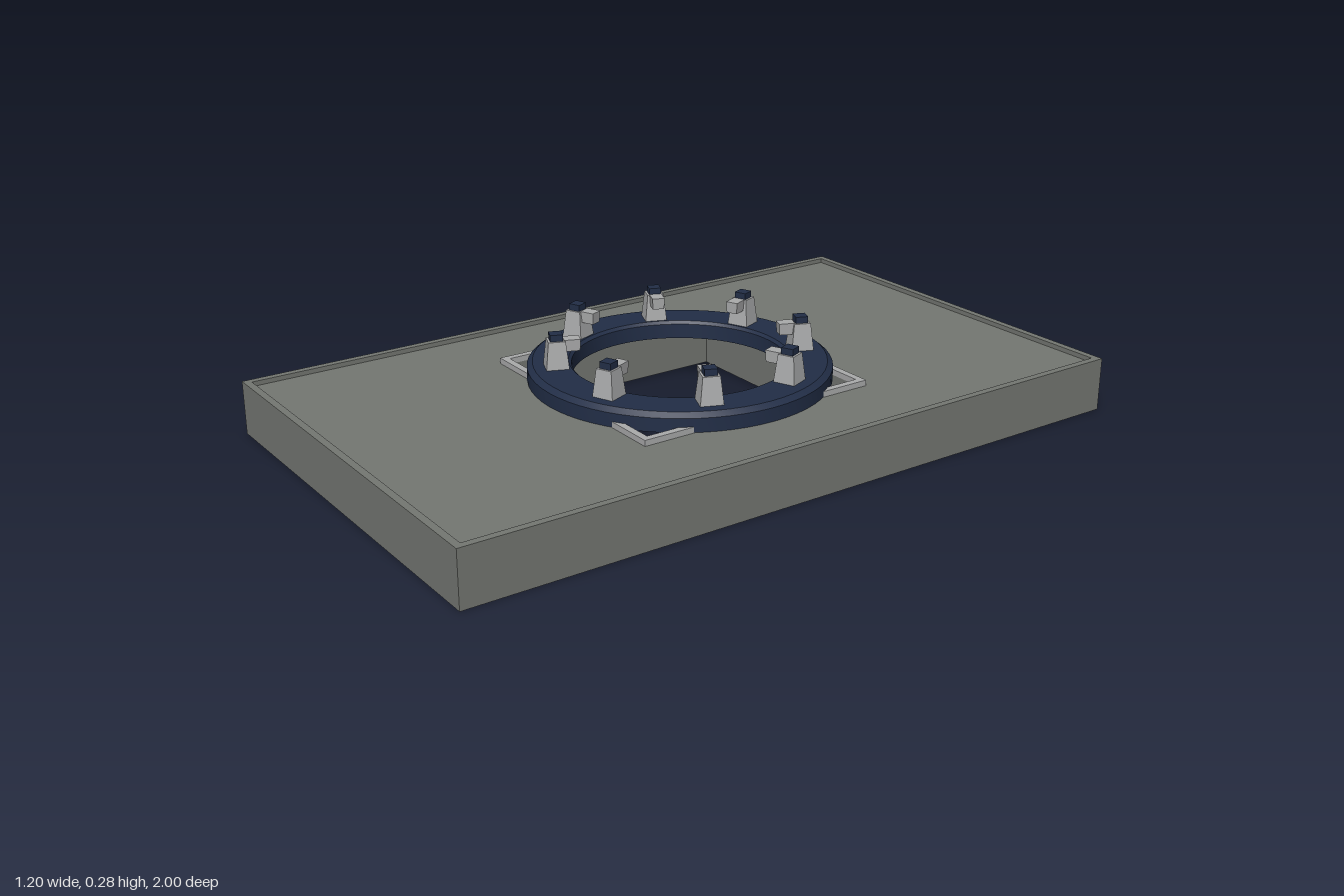
import * as THREE from 'three';
import { toCreasedNormals } from 'three/addons/utils/BufferGeometryUtils.js';

const material = (name, color) => {
  const m = new THREE.MeshStandardMaterial({ color });
  m.name = name;
  return m;
};

// Rectangular frame lying flat between heights y0 and y1
function frame(w, d, holeW, holeD, y0, y1) {
  const rect = (s, a, b) => s.moveTo(-a / 2, -b / 2).lineTo(a / 2, -b / 2).lineTo(a / 2, b / 2).lineTo(-a / 2, b / 2).closePath();
  const shape = rect(new THREE.Shape(), w, d);
  shape.holes.push(rect(new THREE.Path(), holeW, holeD));
  return new THREE.ExtrudeGeometry(shape, { depth: y1 - y0, bevelEnabled: false })
    .rotateX(-Math.PI / 2).translate(0, y0, 0);
}

// Box narrowing towards the top between heights y0 and y1
function taperedBox(bottom, top, y0, y1) {
  const g = new THREE.BoxGeometry(1, y1 - y0, 1).toNonIndexed();
  const p = g.attributes.position;
  for (let i = 0; i < p.count; i++) {
    const s = p.getY(i) > 0 ? top : bottom;
    p.setX(i, p.getX(i) * s);
    p.setZ(i, p.getZ(i) * s);
  }
  g.translate(0, (y0 + y1) / 2, 0);
  g.computeVertexNormals();
  return g;
}

export function createModel() {
  const root = new THREE.Group();
  root.name = 'ringFixture';
  const slabGrey = material('slab grey', 0x747772);
  const metal = material('light metal', 0xaaabac);
  const navy = material('navy', 0x222e47);

  const add = (parent, name, geometry, mat) => {
    const mesh = new THREE.Mesh(geometry, mat);
    mesh.name = name;
    parent.add(mesh);
    return mesh;
  };

  // Slab with a square opening and a low raised rim
  add(root, 'slab', frame(1.2, 2, 0.67, 0.67, 0, 0.137), slabGrey);
  add(root, 'slabRim', frame(1.2, 2, 1.16, 1.96, 0.137, 0.15), slabGrey);

  // Metal trim around the opening
  add(root, 'openingTrim', frame(0.71, 0.71, 0.67, 0.67, 0.137, 0.153), metal);

  // Chamfered ring
  const profile = [
    [0.292, 0.138], [0.412, 0.138], [0.412, 0.176], [0.397, 0.188],
    [0.3, 0.188], [0.292, 0.18], [0.292, 0.138],
  ].map(([r, y]) => new THREE.Vector2(r, y));
  add(root, 'ring', toCreasedNormals(new THREE.LatheGeometry(profile, 64), 0.4), navy);

  // Eight clamps, each with a lip reaching over the ring's inner edge
  const bodyGeo = taperedBox(0.062, 0.046, 0.186, 0.263);
  const capGeo = taperedBox(0.034, 0.034, 0.263, 0.281);
  const lipGeo = taperedBox(1, 1.1, 0.233, 0.265).scale(0.032, 1, 0.04);
  lipGeo.computeVertexNormals();
  for (let i = 0; i < 8; i++) {
    const a = (i + 0.5) * Math.PI / 4;
    const clamp = new THREE.Group();
    clamp.name = 'clamp' + (i + 1);
    clamp.position.set(Math.sin(a) * 0.336, 0, Math.cos(a) * 0.336);
    clamp.rotation.y = a;
    add(clamp, 'clampBody', bodyGeo, metal);
    add(clamp, 'clampCap', capGeo, navy);
    add(clamp, 'clampLip', lipGeo, metal).position.z = -0.042;
    root.add(clamp);
  }
  return root;
}
